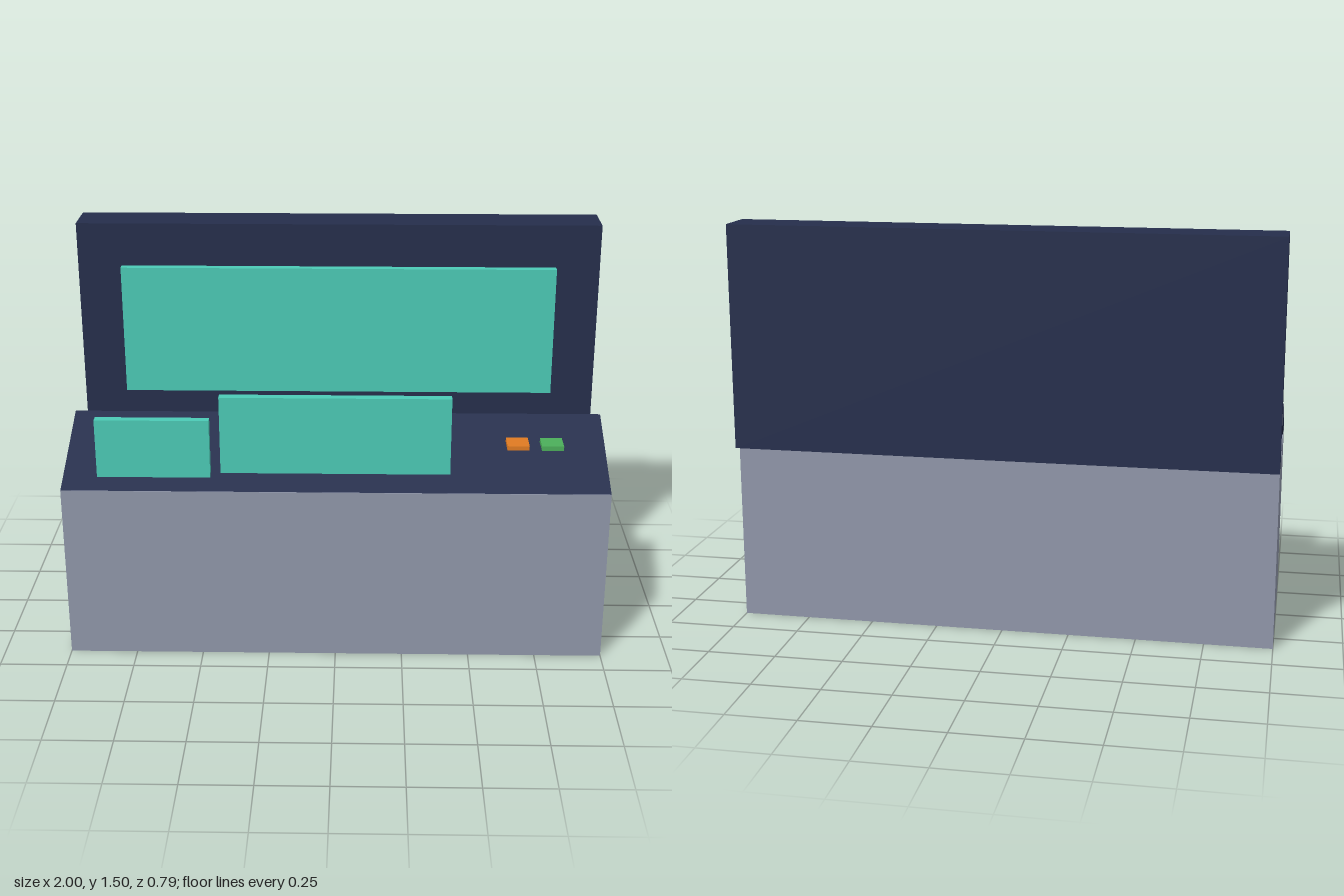
import * as THREE from 'three';

const COLORS = { body: 0x9097aa, navy: 0x252e4c, screen: 0x4ccbb6, orange: 0xe07b22, green: 0x4caf5a };

// Box given by its [min, max] extents along each axis
function block(name, color, [x0, x1], [y0, y1], [z0, z1]) {
  const mesh = new THREE.Mesh(
    new THREE.BoxGeometry(x1 - x0, y1 - y0, z1 - z0),
    new THREE.MeshStandardMaterial({ color })
  );
  mesh.position.set((x0 + x1) / 2, (y0 + y1) / 2, (z0 + z1) / 2);
  mesh.name = name;
  return mesh;
}

export function createModel() {
  const model = new THREE.Group();
  model.name = 'controlConsole';

  // Cabinet and upright back panel, which overhangs the cabinet's rear
  model.add(block('cabinet', COLORS.body, [-1, 1], [0, 0.667], [-0.354, 0.396]));
  model.add(block('backPanel', COLORS.navy, [-1, 1], [0.667, 1.5], [-0.396, -0.229]));

  // Sloped desk, its front edge sunk into the cabinet
  const desk = block('slopedDesk', COLORS.navy, [-1, 1], [0.667, 0.75], [-0.021, 0.396]);
  desk.rotation.x = 0.4;
  desk.position.set(0, 0.709, 0.1875);
  model.add(desk);

  // Screens
  model.add(block('mainScreen', COLORS.screen, [-0.833, 0.833], [0.835, 1.335], [-0.229, -0.196]));
  model.add(block('centreScreen', COLORS.screen, [-0.416, 0.416], [0.733, 1.025], [0.342, 0.375]));
  model.add(block('sideScreen', COLORS.screen, [-0.875, -0.459], [0.667, 0.917], [0.298, 0.33]));

  // Buttons
  model.add(block('orangeButton', COLORS.orange, [0.625, 0.705], [0.803, 0.82], [0.23, 0.312]));
  model.add(block('greenButton', COLORS.green, [0.75, 0.83], [0.803, 0.82], [0.23, 0.312]));

  return model;
}
